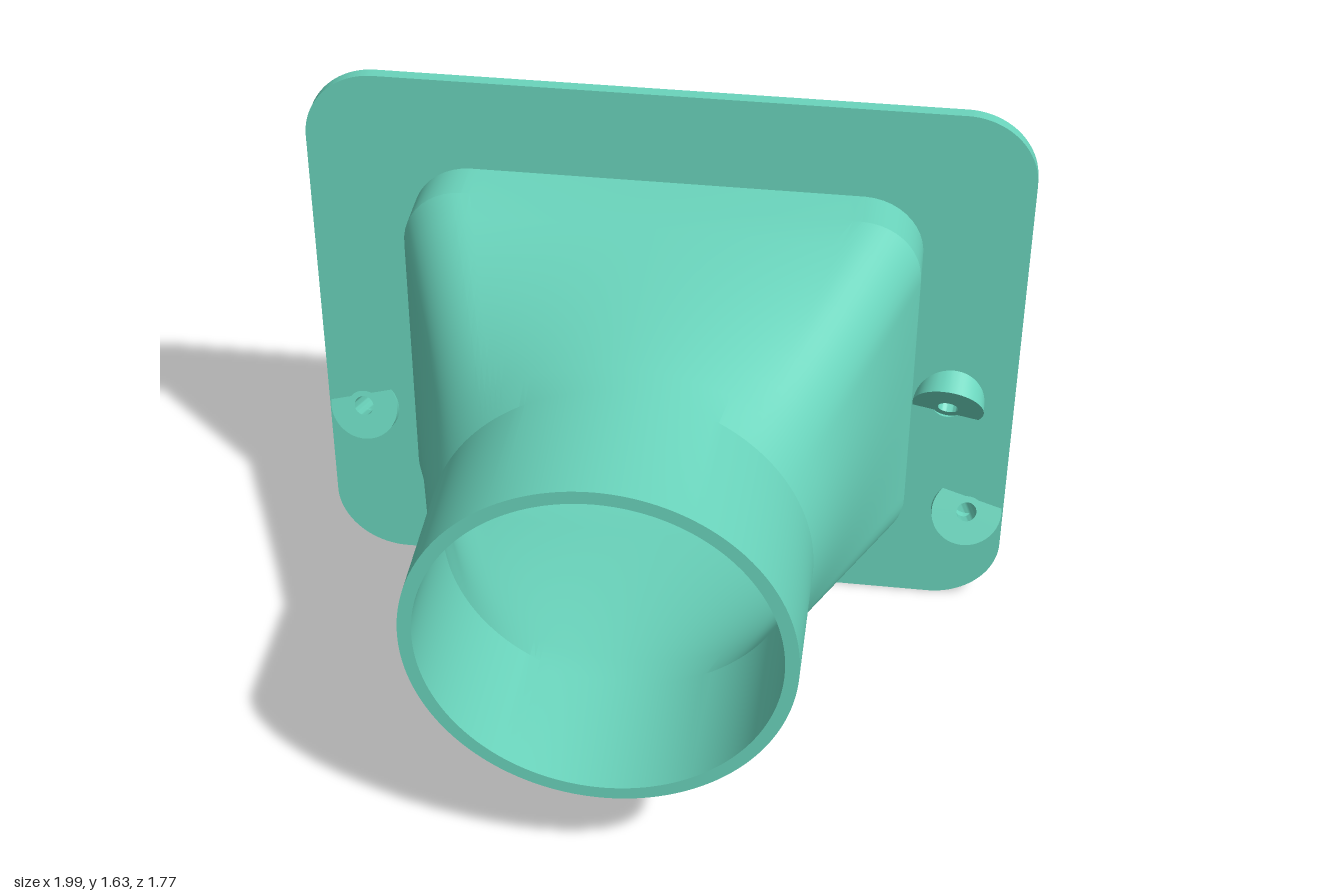
import * as THREE from 'three';
import { toCreasedNormals } from 'three/addons/utils/BufferGeometryUtils.js';

const CY = 0.815; // height of the duct axis
const N = 192; // points around each duct section

// Rounded rectangle centred on the origin, starting at the middle of its +x side
function roundedRect(path, w, h, r) {
  path.moveTo(w, 0);
  path.lineTo(w, h - r);
  path.absarc(w - r, h - r, r, 0, Math.PI / 2);
  path.lineTo(-w + r, h);
  path.absarc(-w + r, h - r, r, Math.PI / 2, Math.PI);
  path.lineTo(-w, -h + r);
  path.absarc(-w + r, -h + r, r, Math.PI, Math.PI * 1.5);
  path.lineTo(w - r, -h);
  path.absarc(w - r, -h + r, r, Math.PI * 1.5, Math.PI * 2);
  path.lineTo(w, 0);
  return path;
}

// Skin over a closed series of rings: outside, back rim, inside, front rim
function ductGeometry() {
  const wall = 0.036;
  const side = (inset) => {
    const rect = roundedRect(new THREE.Path(), 0.707 - inset, 0.547 - inset, 0.17 - inset).getSpacedPoints(N);
    const r = 0.497 - inset;
    const ring = (z, t) => Array.from({ length: N }, (_, j) => {
      const a = (j / N) * Math.PI * 2;
      return [
        THREE.MathUtils.lerp(r * Math.cos(a), rect[j].x, t),
        THREE.MathUtils.lerp(r * Math.sin(a), rect[j].y, t), z];
    });
    const rings = [ring(0.885, 0)];
    for (let k = 0; k <= 8; k++) rings.push(ring(0.49 - 0.78 * (k / 8), k / 8));
    rings.push(ring(-0.56, 1));
    return rings;
  };
  const rings = [...side(0), ...side(wall).reverse()];
  const index = [];
  rings.forEach((_, i) => {
    const next = (i + 1) % rings.length;
    for (let j = 0; j < N; j++) {
      const k = (j + 1) % N;
      const a = i * N + j, b = i * N + k, c = next * N + j, d = next * N + k;
      index.push(a, c, b, b, c, d);
    }
  });
  const geo = new THREE.BufferGeometry();
  geo.setAttribute('position', new THREE.Float32BufferAttribute(rings.flat(2), 3));
  geo.setIndex(index);
  return toCreasedNormals(geo, 0.22);
}

// Tapered, drilled post between two points
function postGeometry(length, rBack, rFront, bore) {
  const h = length / 2;
  const profile = [[bore, -h], [rBack, -h], [rFront, h], [bore, h], [bore, -h]]
    .map(([x, y]) => new THREE.Vector2(x, y));
  return toCreasedNormals(new THREE.LatheGeometry(profile, 48), 0.5);
}

export function createModel() {
  const group = new THREE.Group();
  const material = new THREE.MeshStandardMaterial({ color: 0x6ad4bc });
  const add = (name, geo) => {
    const mesh = new THREE.Mesh(geo, material);
    mesh.name = name;
    group.add(mesh);
    return mesh;
  };

  // Front and back end centres of the three posts
  const posts = [
    ['rightPost', [-0.89, 0.53, -0.405], [-0.848, 0.385, -0.812]],
    ['leftLowerPost', [0.89, 0.325, -0.4], [0.83, 0.147, -0.853]],
    ['leftUpperPost', [0.81, 0.695, -0.4], [0.833, 0.812, -0.607]],
  ];

  // Round-to-rectangular duct
  add('duct', ductGeometry()).position.y = CY;

  // Mounting plate, open for the duct and the post bores
  const shape = roundedRect(new THREE.Shape(), 0.995, 0.815, 0.2);
  shape.holes.push(roundedRect(new THREE.Path(), 0.7, 0.54, 0.163));
  posts.forEach(([, f]) => {
    shape.holes.push(new THREE.Path().absarc(f[0], f[1] - CY, 0.045, 0, Math.PI * 2));
  });
  const plate = new THREE.ExtrudeGeometry(shape, { depth: 0.035, bevelEnabled: false, curveSegments: 24 });
  add('mountingPlate', toCreasedNormals(plate, 0.5)).position.set(0, CY, -0.452);

  // Slanted posts through the plate
  posts.forEach(([name, f, b]) => {
    const front = new THREE.Vector3(...f), back = new THREE.Vector3(...b);
    const axis = front.clone().sub(back);
    const post = add(name, postGeometry(axis.length(), 0.077, 0.102, 0.029));
    post.position.copy(front).add(back).multiplyScalar(0.5);
    post.quaternion.setFromUnitVectors(new THREE.Vector3(0, 1, 0), axis.normalize());
  });

  return group;
}
